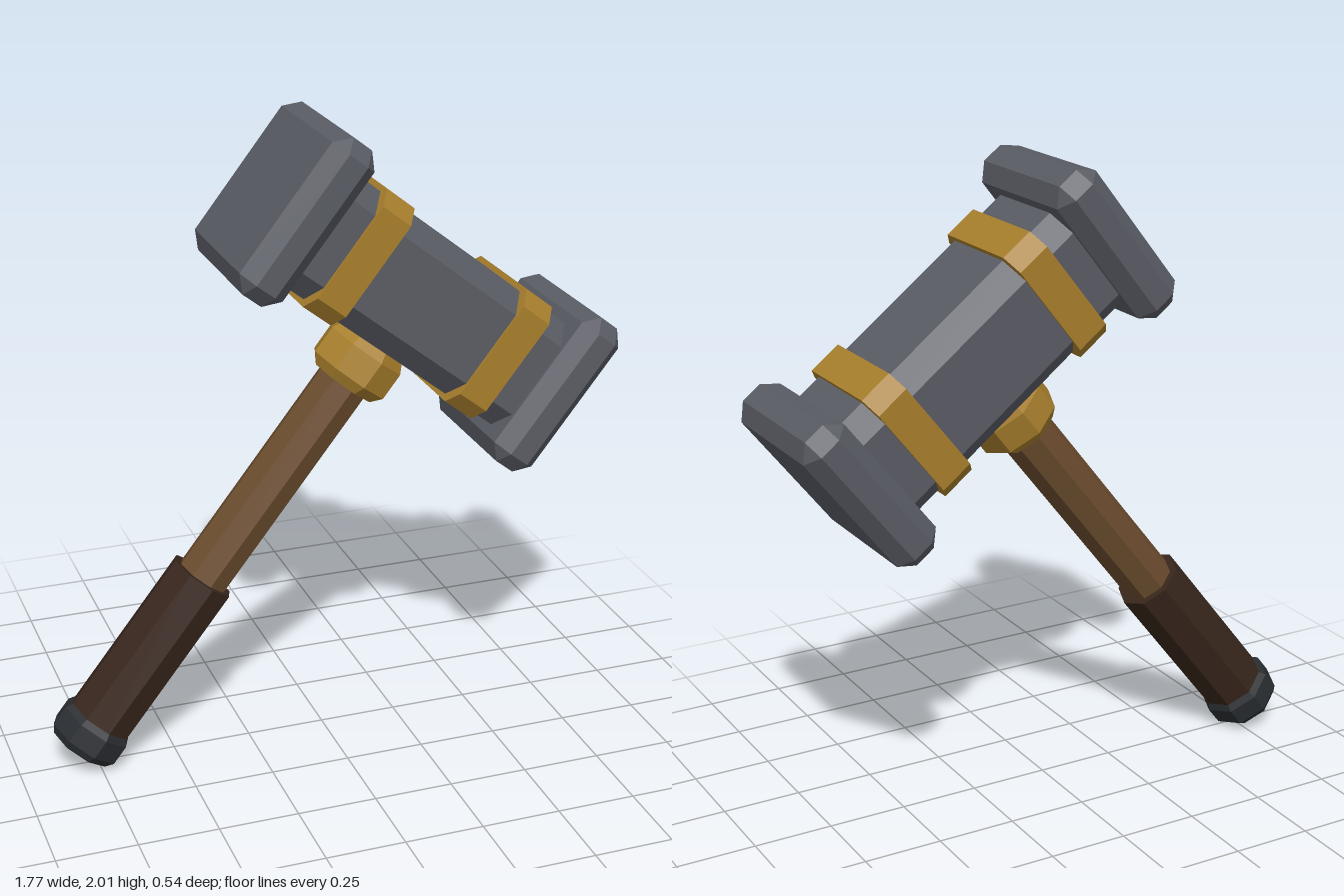
import * as THREE from 'three';
import { ConvexGeometry } from 'three/addons/geometries/ConvexGeometry.js';

const material = (color) => new THREE.MeshStandardMaterial({ color, flatShading: true });

// Box with every edge and corner cut off by c (half sizes given)
function chamferBox(hx, hy, hz, c) {
  const points = [];
  for (const x of [-1, 1]) for (const y of [-1, 1]) for (const z of [-1, 1]) {
    points.push(
      new THREE.Vector3(x * hx, y * (hy - c), z * (hz - c)),
      new THREE.Vector3(x * (hx - c), y * hy, z * (hz - c)),
      new THREE.Vector3(x * (hx - c), y * (hy - c), z * hz)
    );
  }
  return new ConvexGeometry(points);
}

// Bar along x whose cross-section is a rectangle with cut corners
function chamferBar(length, hy, hz, c) {
  const shape = new THREE.Shape([
    [hz, -hy + c], [hz, hy - c], [hz - c, hy], [-hz + c, hy],
    [-hz, hy - c], [-hz, -hy + c], [-hz + c, -hy], [hz - c, -hy],
  ].map(([a, b]) => new THREE.Vector2(a, b)));
  const geometry = new THREE.ExtrudeGeometry(shape, { depth: length, bevelEnabled: false });
  return geometry.translate(0, 0, -length / 2).rotateY(Math.PI / 2);
}

// Eight-sided turned part, profile as [radius, height] from bottom to top
const turned = (profile) =>
  new THREE.LatheGeometry(profile.map(([r, y]) => new THREE.Vector2(r, y)), 8);

export function createModel() {
  const model = new THREE.Group();
  model.name = 'hammer';

  const steel = material(0x5a5c64);
  const gold = material(0xa87f2c);
  const wood = material(0x6b4c2e);
  const leather = material(0x38261c);
  const darkIron = material(0x2a2d31);

  // Built upright around the head's centre, then tilted
  const hammer = new THREE.Group();
  hammer.name = 'tiltedHammer';
  hammer.position.set(0.282, 1.455, 0);
  hammer.rotation.z = THREE.MathUtils.degToRad(-38);
  model.add(hammer);

  const add = (name, geometry, mat, x = 0) => {
    const mesh = new THREE.Mesh(geometry, mat);
    mesh.name = name;
    mesh.position.x = x;
    hammer.add(mesh);
  };

  // Head: core bar, two striking blocks, two bands
  add('headCore', chamferBar(0.94, 0.192, 0.213, 0.065), steel);
  for (const [side, label] of [[-1, 'right'], [1, 'left']]) {
    add(label + 'StrikingBlock', chamferBox(0.081, 0.272, 0.271, 0.046), steel, side * 0.513);
    add(label + 'Band', chamferBar(0.11, 0.21, 0.221, 0.048), gold, side * 0.289);
  }

  // Handle: collar, shaft, grip and pommel
  add('collar', turned([[0, -0.348], [0.108, -0.348], [0.137, -0.315], [0.137, -0.225], [0.115, -0.185], [0, -0.185]]), gold);
  add('shaft', turned([[0, -1.2], [0.086, -1.2], [0.086, -0.18], [0, -0.18]]), wood);
  add('grip', turned([[0, -1.69], [0.109, -1.69], [0.109, -1.094], [0, -1.094]]), leather);
  add('pommel', turned([[0, -1.763], [0.104, -1.763], [0.123, -1.737], [0.123, -1.672], [0.108, -1.65], [0, -1.65]]), darkIron);

  return model;
}
